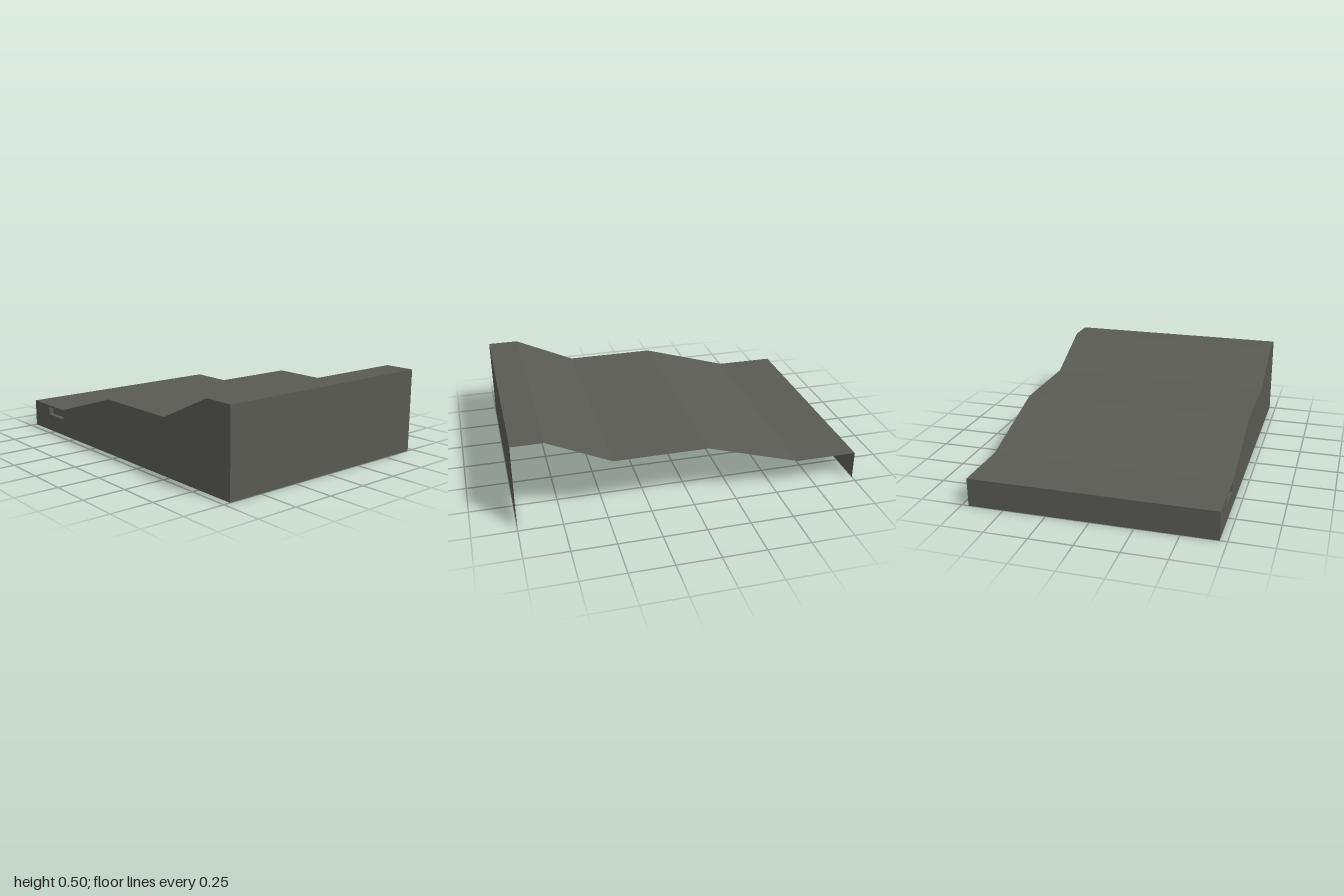
import * as THREE from 'three';

export function createModel() {
  const model = new THREE.Group();
  model.name = 'steppedCover';
  const grey = new THREE.MeshStandardMaterial({ color: 0x5a5a54, side: THREE.DoubleSide, flatShading: true });
  grey.name = 'dark grey';

  const halfX = 1, halfZ = 0.709;
  // Upper profile, from the low end to the high end
  const profile = [[-1, 0.167], [-0.636, 0.167], [-0.09, 0.333], [0.455, 0.333], [0.818, 0.5], [1, 0.5]];

  const add = (name, geometry, parent = model) => {
    const mesh = new THREE.Mesh(geometry, grey);
    mesh.name = name;
    parent.add(mesh);
    return mesh;
  };

  // Rectangular sheet centred at (x, y, z), turned about x and y
  const sheet = (name, w, h, x, y, z, rx = 0, ry = 0, parent = model) => {
    const mesh = add(name, new THREE.PlaneGeometry(w, h), parent);
    mesh.position.set(x, y, z);
    mesh.rotation.set(rx, ry, 0);
  };

  // Top: one flat sheet for each step of the profile
  const top = new THREE.Group();
  top.name = 'topSurface';
  model.add(top);
  for (let i = 0; i < profile.length - 1; i++) {
    const [x0, y0] = profile[i], [x1, y1] = profile[i + 1];
    const g = new THREE.PlaneGeometry(Math.hypot(x1 - x0, y1 - y0), 2 * halfZ);
    g.rotateX(-Math.PI / 2).rotateZ(Math.atan2(y1 - y0, x1 - x0));
    g.translate((x0 + x1) / 2, (y0 + y1) / 2, 0);
    add('topPanel' + (i + 1), g, top);
  }

  // Front wall with a small slot; the back and underside stay open
  const slot = { x0: -0.818, x1: -0.636, y0: 0.105, y1: 0.155, depth: 0.03 };
  const outline = new THREE.Shape();
  outline.moveTo(-halfX, 0).lineTo(halfX, 0);
  [...profile].reverse().forEach(([x, y]) => outline.lineTo(x, y));
  const hole = new THREE.Path();
  hole.moveTo(slot.x0, slot.y0).lineTo(slot.x0, slot.y1).lineTo(slot.x1, slot.y1).lineTo(slot.x1, slot.y0);
  outline.holes.push(hole);
  add('frontWall', new THREE.ShapeGeometry(outline).translate(0, 0, halfZ));

  // Shallow recess behind the slot
  const recess = new THREE.Group();
  recess.name = 'slotRecess';
  model.add(recess);
  const w = slot.x1 - slot.x0, h = slot.y1 - slot.y0;
  const cx = (slot.x0 + slot.x1) / 2, cy = (slot.y0 + slot.y1) / 2;
  const zMid = halfZ - slot.depth / 2;
  sheet('slotBack', w, h, cx, cy, halfZ - slot.depth, 0, 0, recess);
  sheet('slotFloor', w, slot.depth, cx, slot.y0, zMid, -Math.PI / 2, 0, recess);
  sheet('slotCeiling', w, slot.depth, cx, slot.y1, zMid, Math.PI / 2, 0, recess);
  sheet('slotRightEnd', slot.depth, h, slot.x0, cy, zMid, 0, Math.PI / 2, recess);
  sheet('slotLeftEnd', slot.depth, h, slot.x1, cy, zMid, 0, -Math.PI / 2, recess);

  // End walls
  sheet('lowEndWall', 2 * halfZ, 0.167, -halfX, 0.0835, 0, 0, -Math.PI / 2);
  sheet('highEndWall', 2 * halfZ, 0.5, halfX, 0.25, 0, 0, Math.PI / 2);

  return model;
}
